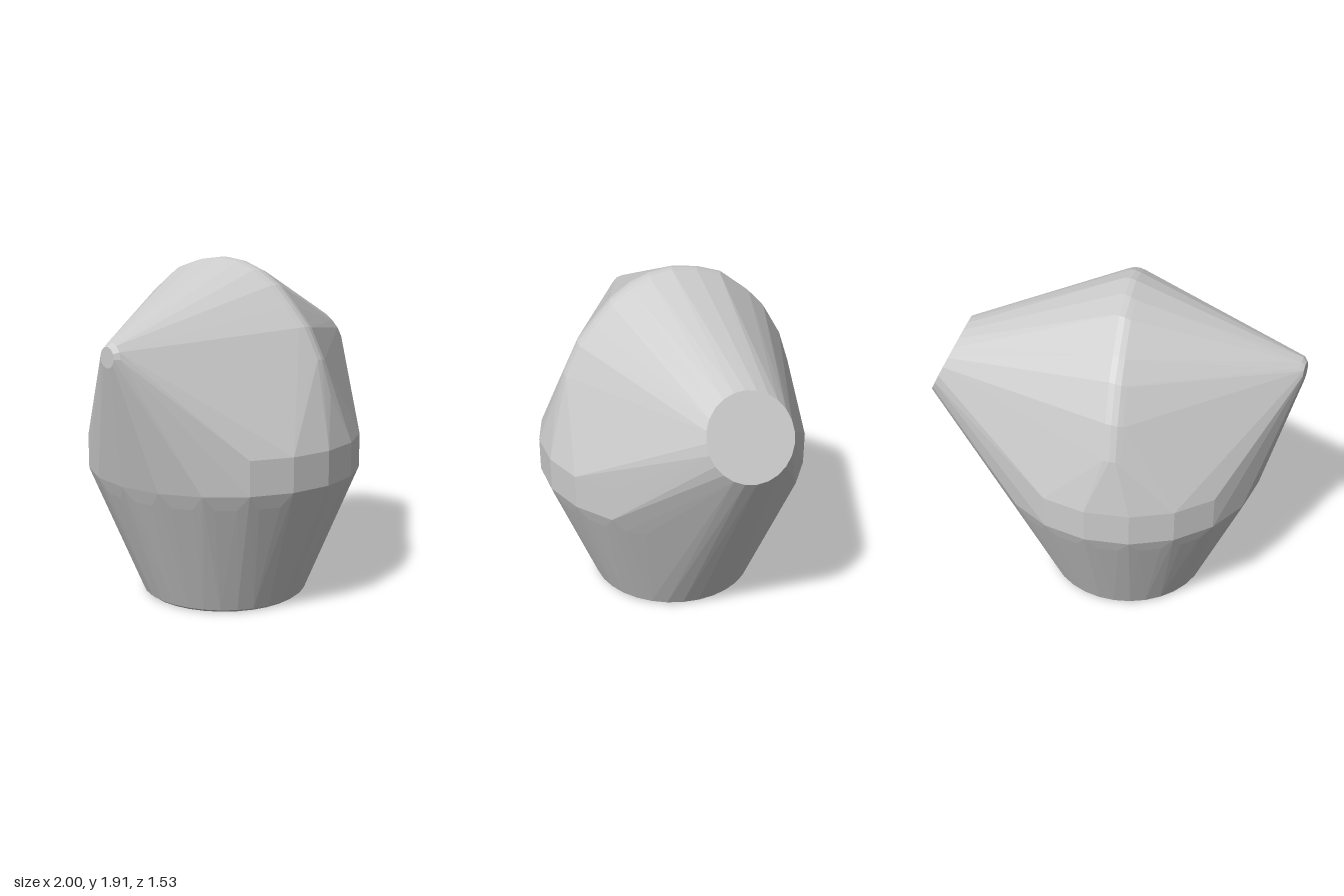
import * as THREE from 'three';
import { ConvexGeometry } from 'three/addons/geometries/ConvexGeometry.js';

const V = (x, y, z) => new THREE.Vector3(x, y, z);

// Regular ring of points around a centre, facing along a normal.
function ring(center, normal, radius, sides, phase = 0) {
  const q = new THREE.Quaternion().setFromUnitVectors(V(0, 1, 0), normal.clone().normalize());
  return Array.from({ length: sides }, (_, i) => {
    const a = ((i + phase) / sides) * Math.PI * 2;
    return V(Math.cos(a) * radius, 0, Math.sin(a) * radius).applyQuaternion(q).add(center);
  });
}

export function createModel() {
  const group = new THREE.Group();
  const axisX = -0.075;
  const up = V(0, 1, 0);
  const points = [];

  // Round foot and belly: [height, radius, sides]
  const body = [[0, 0.455, 32], [0.015, 0.475, 32], [0.66, 0.738, 40], [0.74, 0.774, 20], [0.93, 0.774, 20]];
  for (const [y, r, n] of body) points.push(...ring(V(axisX, y, 0), up, r, n, 0.5));

  // Rounded ridge arching over the top, turned slightly about the vertical: [z, y] of its crest
  const crest = [
    [0.66, 1.2], [0.604, 1.39], [0.523, 1.56], [0.437, 1.665], [0.34, 1.775], [0.23, 1.853], [0.12, 1.897],
    [0, 1.915], [-0.14, 1.897], [-0.274, 1.853], [-0.437, 1.72], [-0.528, 1.62], [-0.63, 1.44], [-0.69, 1.255],
  ];
  const tube = 0.1;
  crest.forEach(([z, y], i) => {
    const a = crest[Math.max(i - 1, 0)], b = crest[Math.min(i + 1, crest.length - 1)];
    const along = V(0, b[1] - a[1], b[0] - a[0]).normalize();
    const out = V(0, -along.z, along.y);
    const c = V(axisX, y, z).addScaledVector(out, -tube);
    c.x += c.z * 0.34;
    // half-round section across the ridge
    for (let k = -4; k <= 4; k++) {
      const t = (k / 4) * 1.2;
      points.push(c.clone().addScaledVector(out, Math.cos(t) * tube).add(V(Math.sin(t) * tube * 1.1, 0, 0)));
    }
  });

  // Slanted flat mouth on the left side
  const mouthDir = V(0.847, 0.466, -0.254);
  const mouth = V(0.872, 1.372, -0.35);
  points.push(...ring(mouth, mouthDir, 0.235, 24));
  points.push(...ring(mouth.clone().addScaledVector(mouthDir, -0.02), mouthDir, 0.244, 24));

  // Small blunt tip on the right side
  const tipDir = V(-1, 0, 0.1);
  points.push(...ring(V(-0.994, 1.46, 0.26), tipDir, 0.055, 12));
  points.push(...ring(V(-0.972, 1.462, 0.265), tipDir, 0.074, 12));

  const shell = new THREE.Mesh(
    new ConvexGeometry(points),
    new THREE.MeshStandardMaterial({ color: 0xcccccc, flatShading: true })
  );
  shell.name = 'facetedShell';
  group.add(shell);
  return group;
}
